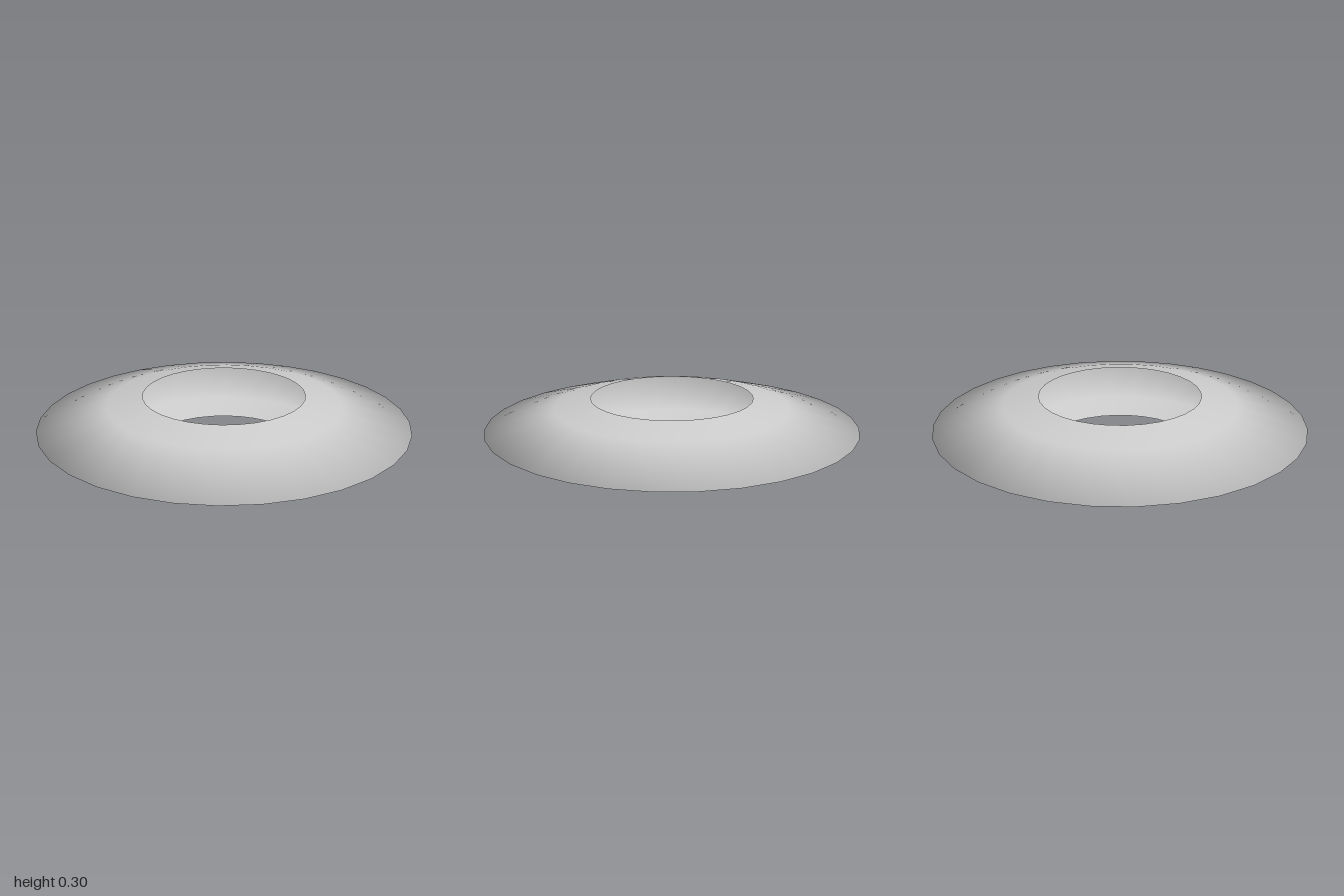
import * as THREE from 'three';

export function createModel() {
  const group = new THREE.Group();
  group.name = 'ring';

  // Hollow lens-shaped shell, open at the top and bottom, with a sharp outer rim
  const profile = [
    [0.435, 0],
    [0.63, 0.045],
    [1, 0.15],
    [0.63, 0.255],
    [0.435, 0.3],
  ].map(([r, y]) => new THREE.Vector2(r, y));

  const shell = new THREE.Mesh(
    new THREE.LatheGeometry(profile, 32),
    new THREE.MeshStandardMaterial({ color: 0xcccccc, side: THREE.DoubleSide })
  );
  shell.name = 'ringShell';
  group.add(shell);
  return group;
}
